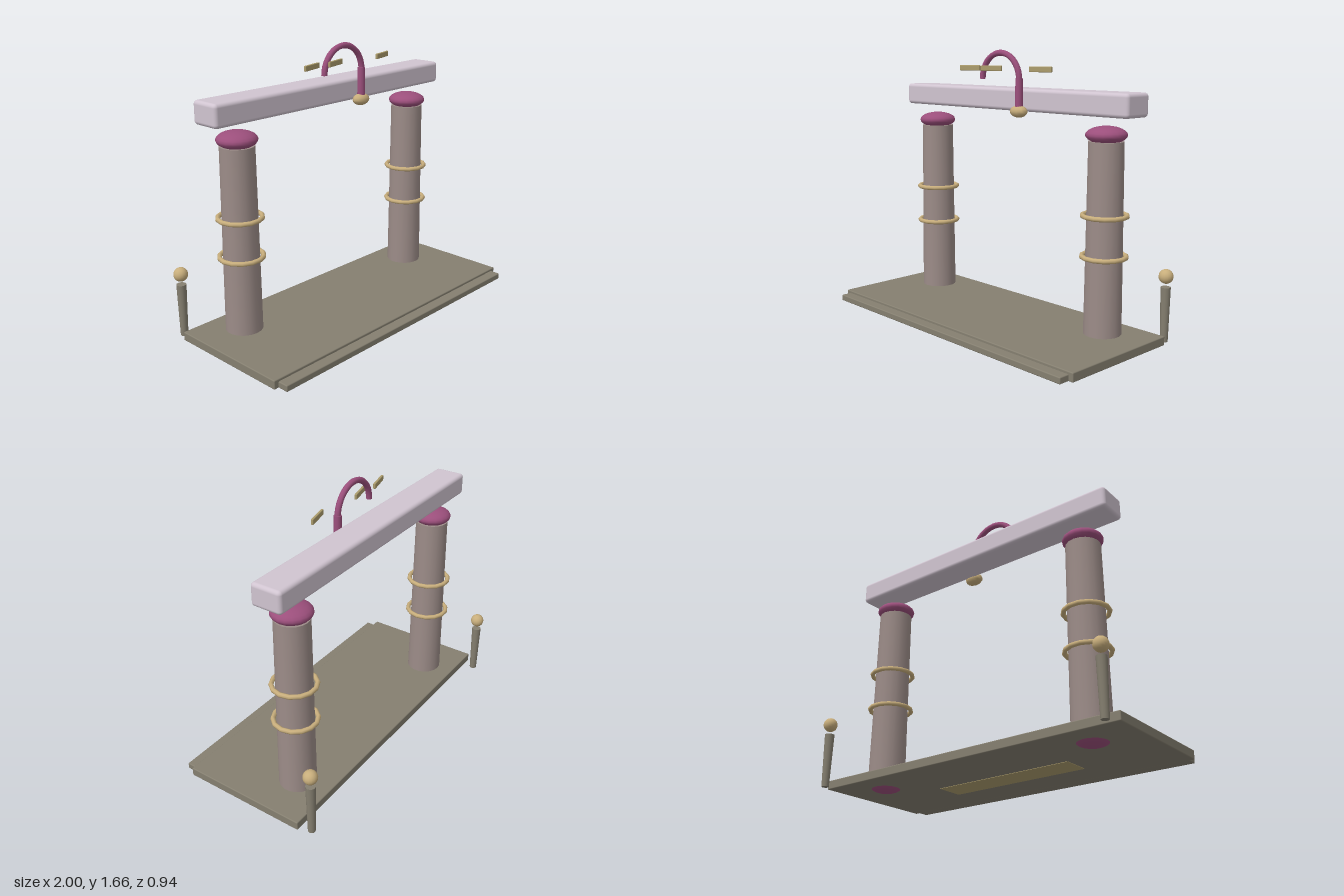
import * as THREE from 'three';
import { RoundedBoxGeometry } from 'three/addons/geometries/RoundedBoxGeometry.js';

const mat = (color) => new THREE.MeshStandardMaterial({ color });
const stone = mat(0x9c8c88), slab = mat(0x857f70), pale = mat(0xd0c4d0);
const plum = mat(0x9c4f7c), gold = mat(0xc8ae7c), brass = mat(0xac9c6c);

function add(parent, name, geometry, material, x = 0, y = 0, z = 0) {
  const mesh = new THREE.Mesh(geometry, material);
  mesh.name = name;
  mesh.position.set(x, y, z);
  parent.add(mesh);
  return mesh;
}

const ellipsoid = (rx, ry, rz, w = 18, h = 12) => new THREE.SphereGeometry(1, w, h).scale(rx, ry, rz);

// Tapered column with squashed end caps and two loose rings
function column(side) {
  const g = new THREE.Group();
  g.name = side > 0 ? 'leftColumn' : 'rightColumn';
  g.position.set(0.72 * side, 0, -0.16);
  add(g, 'shaft', new THREE.CylinderGeometry(0.1, 0.11, 1.14, 18), stone, 0, 0.6);
  add(g, 'topCap', ellipsoid(0.117, 0.05, 0.117), plum, 0, 1.205);
  add(g, 'bottomCap', ellipsoid(0.105, 0.05, 0.105), plum, 0, 0.054);
  for (const y of [0.525, 0.757]) {
    const ring = new THREE.TorusGeometry(0.126, 0.014, 8, 14).rotateX(Math.PI / 2);
    add(g, 'ring', ring, gold, 0, y);
  }
  return g;
}

// Short bollard with a ball floating above it
function bollard(side) {
  const g = new THREE.Group();
  g.name = side > 0 ? 'leftBollard' : 'rightBollard';
  g.position.set(0.952 * side, 0, -0.43);
  add(g, 'post', new THREE.CylinderGeometry(0.029, 0.022, 0.32, 12), slab, 0, 0.182);
  add(g, 'ball', new THREE.SphereGeometry(0.042, 16, 12), gold, 0, 0.404);
  return g;
}

export function createModel() {
  const model = new THREE.Group();
  model.name = 'gateway';

  // Floor slab, front step and inlay on the underside
  add(model, 'base', new RoundedBoxGeometry(2, 0.053, 0.777, 2, 0.006), slab, 0, 0.052, 0.02);
  add(model, 'frontStep', new RoundedBoxGeometry(1.94, 0.038, 0.09, 2, 0.006), slab, 0, 0.044, 0.427);
  add(model, 'undersideInlay', new THREE.BoxGeometry(0.9, 0.02, 0.17), brass, 0, 0.033, 0.105);

  for (const side of [-1, 1]) model.add(column(side), bollard(side));

  // Lintel
  add(model, 'lintel', new RoundedBoxGeometry(1.855, 0.133, 0.19, 3, 0.022), pale, 0, 1.373, -0.165);

  // Hook: half ring, straight stem and flattened bead
  const hook = new THREE.Group();
  hook.name = 'hook';
  hook.position.set(0, 1.49, -0.05);
  add(hook, 'arch', new THREE.TorusGeometry(0.156, 0.018, 8, 20, Math.PI), plum);
  add(hook, 'archEnd', new THREE.CircleGeometry(0.018, 8).rotateX(Math.PI / 2), plum, -0.156);
  add(hook, 'stem', new THREE.CylinderGeometry(0.022, 0.025, 0.19, 12), plum, 0.155, -0.085);
  add(hook, 'bead', ellipsoid(0.06, 0.036, 0.042, 10, 8), gold, 0.153, -0.182);
  model.add(hook);

  // Three small angled bars
  for (const x of [-0.262, -0.072, 0.332]) {
    const bar = add(model, 'bar', new RoundedBoxGeometry(0.146, 0.032, 0.015, 2, 0.004), brass, x, 1.554, -0.043);
    bar.rotation.y = 0.25;
  }
  return model;
}
